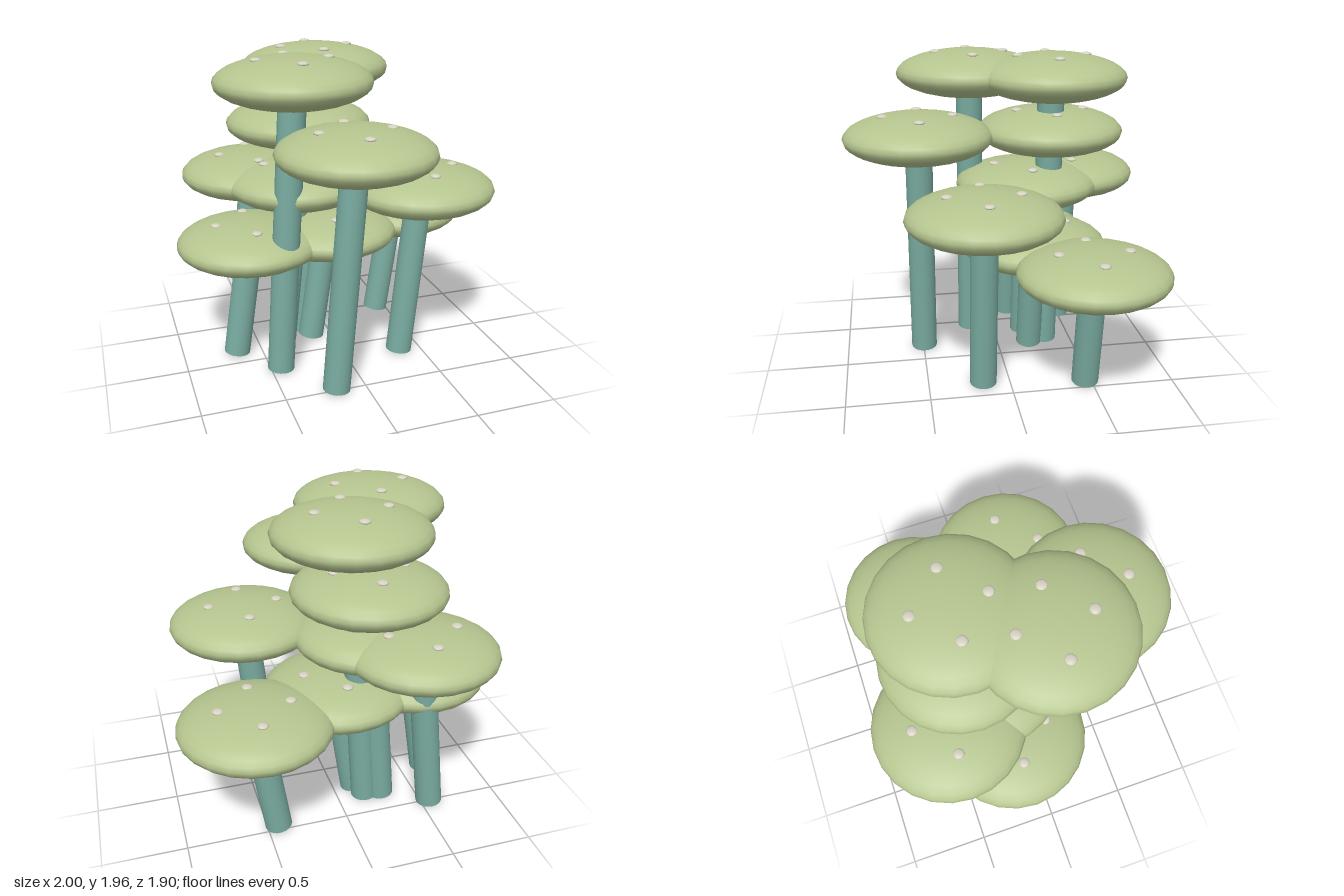
import * as THREE from 'three';

const capMaterial = new THREE.MeshStandardMaterial({ color: 0xb5c58f });
capMaterial.name = 'moss green';
const stemMaterial = new THREE.MeshStandardMaterial({ color: 0x7aaca1 });
stemMaterial.name = 'teal';
const spotMaterial = new THREE.MeshStandardMaterial({ color: 0xd6d2c2 });
spotMaterial.name = 'pale cream';

const CAP_RADIUS = 0.455;
const CAP_HALF_HEIGHT = 0.146;
const STEM_RADIUS = 0.083;
const LEAN = 0.115; // sideways shift from the foot to the cap
const SPOT_OFFSET = 0.21;

// cap centres: x, y, z
const caps = [
  [-0.545, 0.768, -0.14], [-0.02, 0.768, -0.21], [0.545, 0.768, -0.46],
  [-0.44, 1.117, -0.5], [-0.215, 1.117, -0.2], [0.47, 1.117, 0.165],
  [-0.165, 1.467, -0.335], [-0.07, 1.467, 0.495],
  [-0.06, 1.815, -0.32], [-0.325, 1.815, 0.153],
];

const capGeometry = new THREE.SphereGeometry(CAP_RADIUS, 24, 16)
  .scale(1, CAP_HALF_HEIGHT / CAP_RADIUS, 1);
const spotGeometry = new THREE.SphereGeometry(0.033, 12, 8).scale(1, 0.4, 1);

function createMushroom([x, y, z]) {
  const mushroom = new THREE.Group();
  mushroom.name = 'mushroom';
  mushroom.position.set(x, y, z);

  const cap = new THREE.Mesh(capGeometry, capMaterial);
  cap.name = 'cap';
  mushroom.add(cap);

  // straight stem leaning towards +x, from the foot to the middle of the cap
  const foot = new THREE.Vector3(-LEAN, 0.01 - y, 0);
  const stem = new THREE.Mesh(
    new THREE.CylinderGeometry(STEM_RADIUS, STEM_RADIUS, foot.length(), 20), stemMaterial);
  stem.name = 'stem';
  stem.position.copy(foot).multiplyScalar(0.5);
  stem.rotation.z = -Math.atan2(-foot.x, -foot.y);
  mushroom.add(stem);

  // four flat spots lying on the cap
  const slope = SPOT_OFFSET / CAP_RADIUS;
  const height = CAP_HALF_HEIGHT * Math.sqrt(1 - slope * slope);
  for (let i = 0; i < 4; i++) {
    const angle = i * Math.PI / 2;
    const spot = new THREE.Mesh(spotGeometry, spotMaterial);
    spot.name = 'spot';
    spot.position.set(Math.cos(angle) * SPOT_OFFSET, height, Math.sin(angle) * SPOT_OFFSET);
    mushroom.add(spot);
  }
  return mushroom;
}

export function createModel() {
  const model = new THREE.Group();
  model.name = 'mushroomCluster';
  caps.forEach((centre) => model.add(createMushroom(centre)));
  return model;
}
